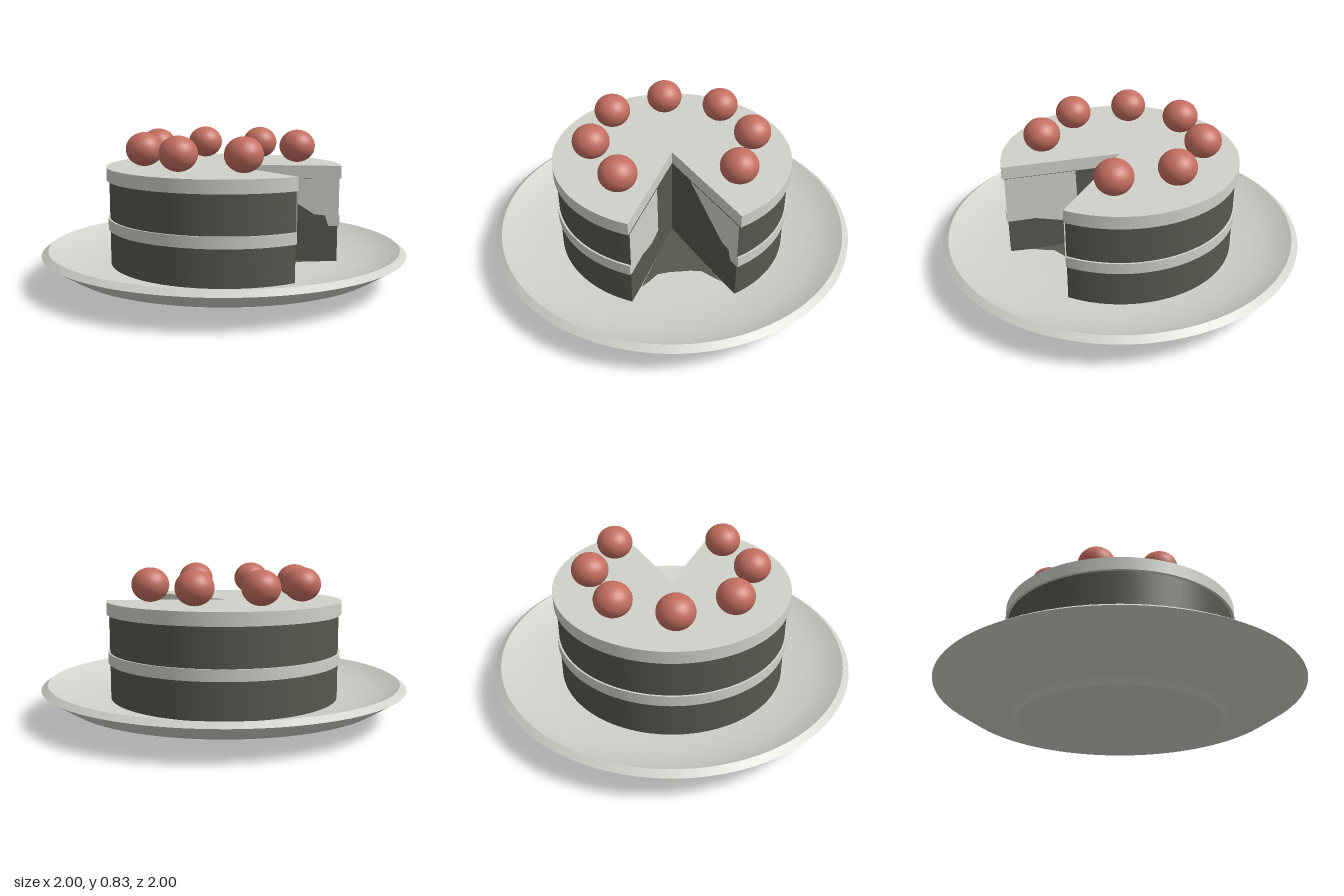
import * as THREE from 'three';

const HALF_CUT = 0.44; // half angle of the missing slice, which opens towards +x

export function createModel() {
  const group = new THREE.Group();
  group.name = 'cakeOnPlate';

  const material = (name, color) => {
    const m = new THREE.MeshStandardMaterial({ color, side: THREE.DoubleSide });
    m.name = name;
    return m;
  };
  const cream = material('cream', 0xd0d1ca);
  const chocolate = material('chocolate', 0x57584f);
  const cherryRed = material('cherryRed', 0xc46e60);

  const add = (name, geometry, mat, parent = group) => {
    const mesh = new THREE.Mesh(geometry, mat);
    mesh.name = name;
    parent.add(mesh);
    return mesh;
  };
  const points = (list) => list.map(([x, y]) => new THREE.Vector2(x, y));

  // Plate, turned in sections so the edges between them stay sharp
  const plate = new THREE.Group();
  plate.name = 'plate';
  group.add(plate);
  const turn = (name, profile) =>
    add(name, new THREE.LatheGeometry(points(profile), 96), cream, plate);
  turn('plateBase', [[0, 0], [0.55, 0]]);
  turn('plateUnderside', [[0.55, 0], [0.6, 0.05], [0.865, 0.09], [1, 0.175]]);
  turn('plateRim', [[1, 0.175], [0.965, 0.2]]);
  turn('plateDish', [[0.965, 0.2], [0.91, 0.17], [0.83, 0.142], [0.73, 0.12],
    [0.62, 0.107], [0.5, 0.101], [0, 0.1]]);

  // Flat shape standing on one cut face: x runs out from the centre, y is up
  const cutFace = (name, outline, mat, side, offset = 0) => {
    const pivot = new THREE.Group();
    pivot.name = name;
    pivot.rotation.y = -side * HALF_CUT;
    group.add(pivot);
    const face = add(name + 'Face', new THREE.ShapeGeometry(new THREE.Shape(points(outline))), mat, pivot);
    face.position.z = -side * offset;
  };

  // Cake layers: a round with the slice missing, closed by two cut faces
  const layer = (name, radius, y0, y1, mat) => {
    const geometry = new THREE.CylinderGeometry(radius, radius, y1 - y0, 96, 1, false,
      Math.PI / 2 + HALF_CUT, 2 * (Math.PI - HALF_CUT));
    add(name, geometry, mat).position.y = (y0 + y1) / 2;
    for (const side of [-1, 1]) {
      cutFace(name + (side > 0 ? 'LeftOrFrontCut' : 'BackCut'),
        [[0, y0], [radius, y0], [radius, y1], [0, y1]], mat, side);
    }
  };
  layer('lowerSponge', 0.63, 0.1, 0.305, chocolate);
  layer('upperSponge', 0.63, 0.365, 0.57, chocolate);
  layer('creamFilling', 0.64, 0.305, 0.365, cream);
  layer('creamTopping', 0.645, 0.57, 0.64, cream);

  // Smears of cream and crumb on the cut faces
  for (const side of [-1, 1]) {
    cutFace('crumbOverFilling', [[0, 0.3], [0.62, 0.3], [0.62, 0.37], [0, 0.37]], chocolate, side, 0.002);
  }
  cutFace('frontCreamSmear', [[0.25, 0.57], [0.24, 0.28], [0.34, 0.27], [0.42, 0.29],
    [0.48, 0.305], [0.635, 0.305], [0.635, 0.57]], cream, 1, 0.004);
  cutFace('backCreamSmear', [[0.19, 0.57], [0.5, 0.37], [0.56, 0.365], [0.58, 0.305],
    [0.635, 0.305], [0.635, 0.57]], cream, -1, 0.004);

  // Crumbs left on the plate where the slice was
  const crumbs = new THREE.Shape(points([[0, 0], [0.47, -0.215], [0.43, -0.17], [0.38, -0.12],
    [0.37, -0.06], [0.37, 0.06], [0.38, 0.12], [0.43, 0.17], [0.47, 0.215]]));
  const crumbLayer = add('crumbs', new THREE.ShapeGeometry(crumbs), chocolate);
  crumbLayer.rotation.x = -Math.PI / 2;
  crumbLayer.position.y = 0.107;

  // Ring of cherries, with none over the missing slice
  const cherry = new THREE.SphereGeometry(0.1, 32, 20);
  for (let i = 1; i < 8; i++) {
    const angle = (i * Math.PI) / 4;
    const mesh = add('cherry', cherry, cherryRed);
    mesh.scale.y = 0.91;
    mesh.position.set(-0.01 + 0.435 * Math.cos(angle), 0.735, -0.003 + 0.435 * Math.sin(angle));
  }

  return group;
}
